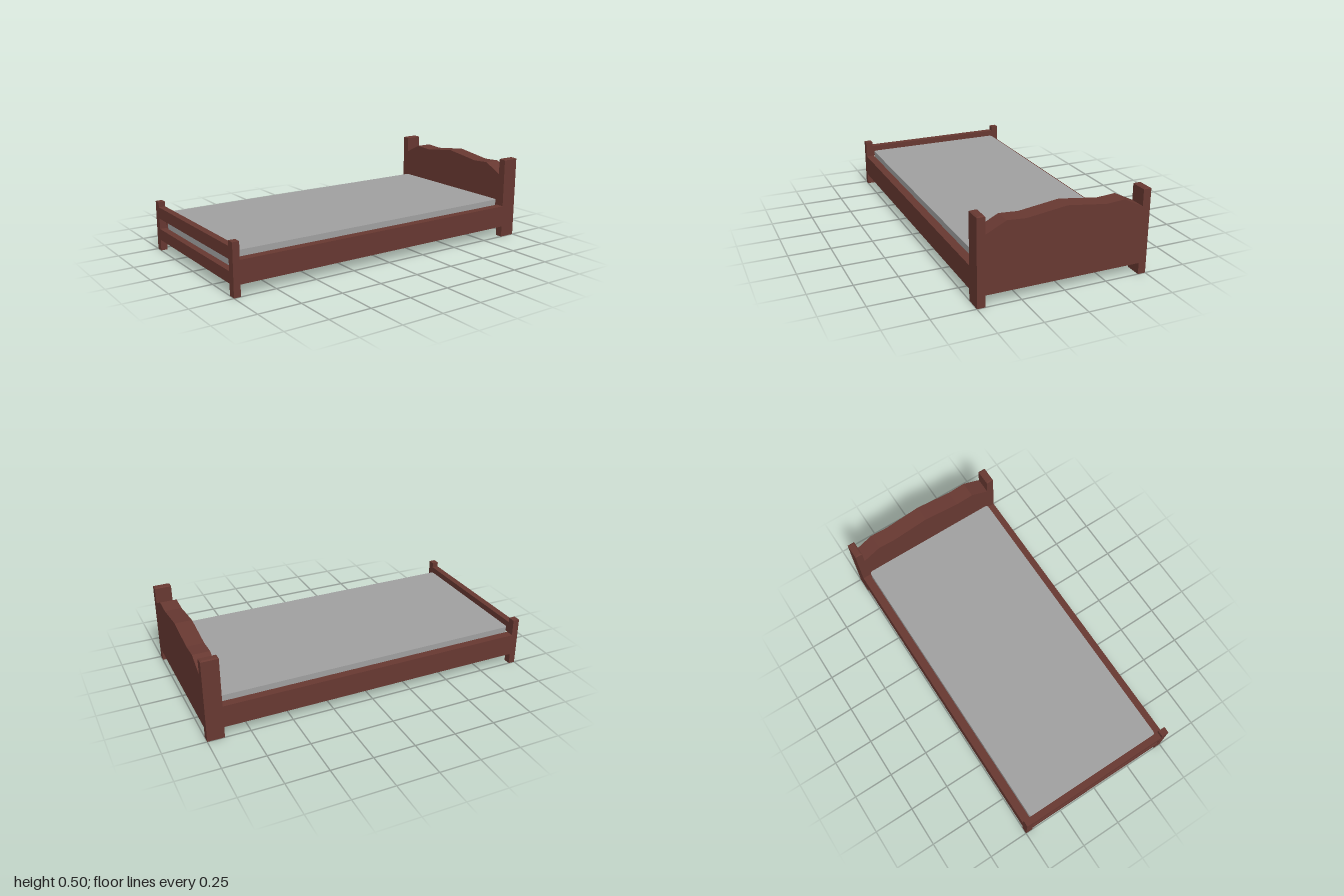
import * as THREE from 'three';

export function createModel() {
  const bed = new THREE.Group();
  bed.name = 'bed';
  const wood = new THREE.MeshStandardMaterial({ color: 0x673831 });
  wood.name = 'reddish brown wood';
  const fabric = new THREE.MeshStandardMaterial({ color: 0xa0a0a0 });
  fabric.name = 'grey fabric';

  const add = (name, geometry, material = wood) => {
    const mesh = new THREE.Mesh(geometry, material);
    mesh.name = name;
    bed.add(mesh);
    return mesh;
  };
  // Box given by its lower and upper limits on each axis
  const box = (name, x0, x1, y0, y1, z0, z1) =>
    add(name, new THREE.BoxGeometry(x1 - x0, y1 - y0, z1 - z0)
      .translate((x0 + x1) / 2, (y0 + y1) / 2, (z0 + z1) / 2));

  // Head post: square column with a shallow chamfered top
  const headPost = (name, z) => {
    const w = 0.1, d = 0.046, h = 0.495, bevel = 0.008;
    box(name, 0.9, 1, 0, h, z - d / 2, z + d / 2);
    const cap = new THREE.BoxGeometry(w, 0.005, d);
    const p = cap.attributes.position;
    for (let i = 0; i < p.count; i++) {
      if (p.getY(i) > 0) {
        p.setX(i, p.getX(i) - Math.sign(p.getX(i)) * bevel);
        p.setZ(i, p.getZ(i) - Math.sign(p.getZ(i)) * bevel);
      }
    }
    cap.computeVertexNormals();
    add(name + 'Cap', cap).position.set(0.95, h + 0.0025, z);
  };

  // Posts and side rails, mirrored front to back
  for (const [side, s] of [['front', 1], ['back', -1]]) {
    headPost(side + 'HeadPost', s * 0.477);
    const zs = (a, b) => [Math.min(s * a, s * b), Math.max(s * a, s * b)];
    box(side + 'FootPost', -1, -0.96, 0, 0.3, ...zs(0.455, 0.5));
    box(side + 'SideRail', -0.96, 0.9, 0.067, 0.2, ...zs(0.45, 0.5));
  }

  // Foot end: two rails with an open gap between them
  box('footLowerRail', -1, -0.96, 0.067, 0.135, -0.455, 0.455);
  box('footUpperRail', -1, -0.96, 0.2, 0.27, -0.455, 0.455);

  // Closed base under the mattress
  box('basePanel', -0.96, 0.9, 0.067, 0.125, -0.45, 0.45);

  // Headboard with a wavy, peaked top edge
  const half = [[0.34, 0.457], [0.23, 0.45]];
  const outline = [
    [-0.454, 0.067], [0.454, 0.067], [0.454, 0.4], ...half, [0, 0.48],
    ...half.map(([z, y]) => [-z, y]).reverse(), [-0.454, 0.4],
  ];
  const headShape = new THREE.Shape(outline.map(([z, y]) => new THREE.Vector2(z, y)));
  const head = new THREE.ExtrudeGeometry(headShape, { depth: 0.1, bevelEnabled: false });
  add('headboard', head.rotateY(Math.PI / 2).translate(0.9, 0, 0));

  // Mattress with rounded upright corners
  const x0 = -0.957, x1 = 0.897, z = 0.448, r = 0.018;
  const m = new THREE.Shape();
  m.absarc(x1 - r, z - r, r, 0, Math.PI / 2);
  m.absarc(x0 + r, z - r, r, Math.PI / 2, Math.PI);
  m.absarc(x0 + r, -z + r, r, Math.PI, Math.PI * 1.5);
  m.absarc(x1 - r, -z + r, r, Math.PI * 1.5, Math.PI * 2);
  const mattress = new THREE.ExtrudeGeometry(m, { depth: 0.11, bevelEnabled: false, curveSegments: 4 });
  add('mattress', mattress.rotateX(-Math.PI / 2).translate(0, 0.125, 0), fabric);

  return bed;
}
